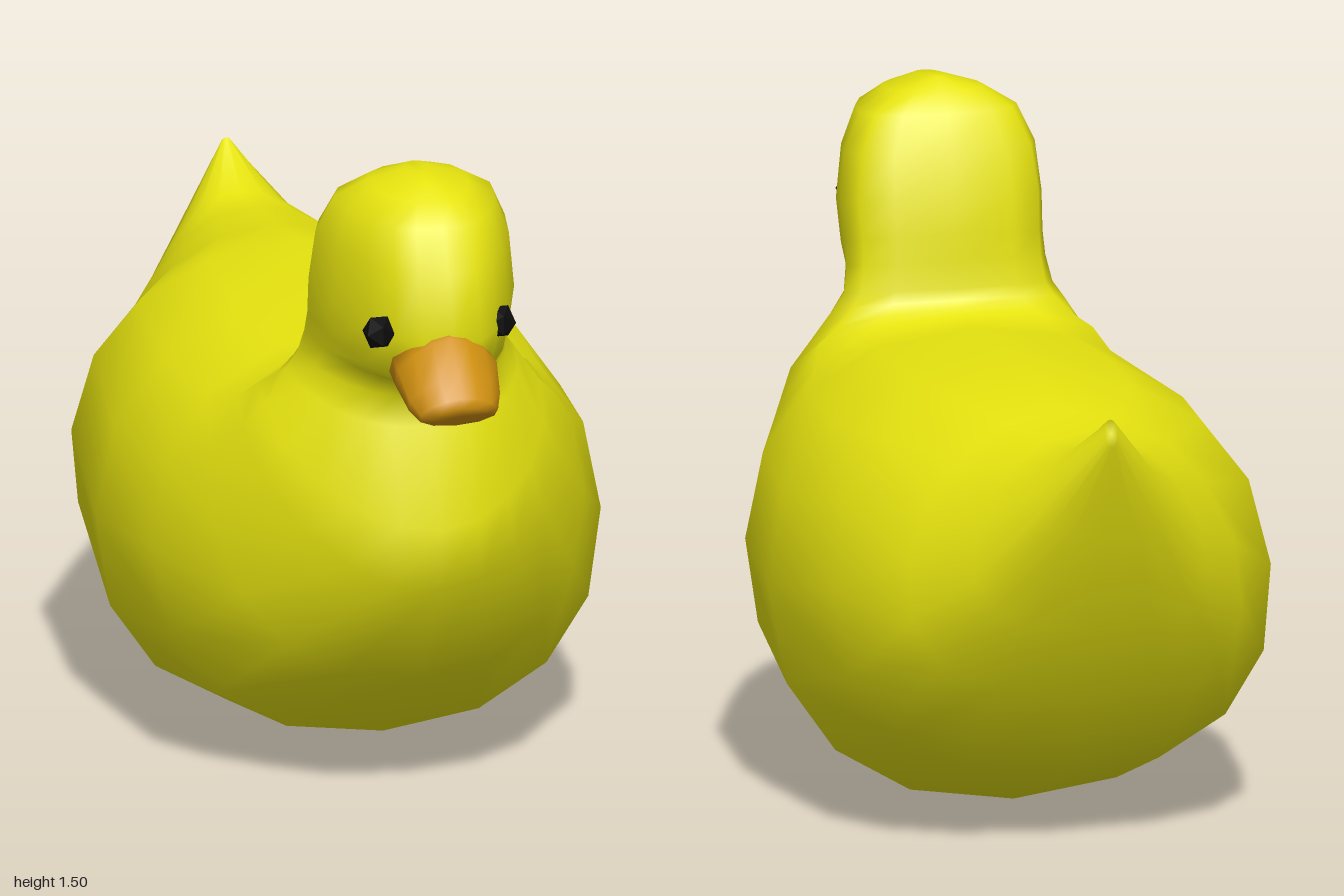
import * as THREE from 'three';

const soften = (v, p) => Math.sign(v) * Math.abs(v) ** p;

// Skin oval rings into one smooth closed surface; power below 1 squares the ovals.
// Ring: [topZ, topY, bottomZ, bottomY, halfWidth, taper, power]
function loft(rings, sides, basePower) {
  const pos = [], index = [], n = rings.length;
  for (const [tz, ty, bz, by, w, taper = 0, power = basePower] of rings) {
    for (let j = 0; j < sides; j++) {
      const a = (j / sides) * Math.PI * 2;
      const c = soften(Math.cos(a), power), s = soften(Math.sin(a), power);
      pos.push(
        w * s * (1 + taper * c),
        (ty + by) / 2 + ((ty - by) / 2) * c,
        (tz + bz) / 2 + ((tz - bz) / 2) * c
      );
    }
  }
  for (let i = 0; i < n - 1; i++) {
    for (let j = 0; j < sides; j++) {
      const k = (j + 1) % sides;
      const a = i * sides + j, b = i * sides + k;
      const d = a + sides, e = b + sides;
      index.push(a, d, b, b, d, e);
    }
  }
  // end caps
  for (const i of [0, n - 1]) {
    const [tz, ty, bz, by] = rings[i], centre = pos.length / 3;
    pos.push(0, (ty + by) / 2, (tz + bz) / 2);
    for (let j = 0; j < sides; j++) {
      const a = i * sides + j, b = i * sides + ((j + 1) % sides);
      if (i === 0) index.push(centre, a, b);
      else index.push(centre, b, a);
    }
  }
  const g = new THREE.BufferGeometry();
  g.setAttribute('position', new THREE.Float32BufferAttribute(pos, 3));
  g.setIndex(index);
  g.computeVertexNormals();
  return g;
}

export function createModel() {
  const group = new THREE.Group();
  const add = (name, geometry, color) => {
    const mesh = new THREE.Mesh(geometry, new THREE.MeshStandardMaterial({ color }));
    mesh.name = name;
    group.add(mesh);
    return mesh;
  };

  // Body, neck and head: rings run from the tail forward, then fan upward
  add('bodyAndHead', loft([
    // tail, broad and flat underneath
    [-0.98, 1.06, -1.0, 1.0, 0.015],
    [-0.86, 0.97, -0.93, 0.78, 0.145, -0.2],
    [-0.74, 0.975, -0.83, 0.54, 0.26, -0.25],
    [-0.57, 0.99, -0.72, 0.375, 0.375, -0.22],
    // body
    [-0.37, 1.02, -0.57, 0.15, 0.505, -0.03],
    [-0.05, 1.015, -0.13, 0.0, 0.555],
    [0.2, 1.005, 0.3, 0.08, 0.52],
    // chest
    [0.27, 1.0, 0.6, 0.3, 0.43, 0.1],
    [0.31, 1.01, 0.76, 0.56, 0.345, 0.32],
    [0.33, 1.02, 0.78, 0.71, 0.3, 0.32],
    // neck and head
    [0.35, 1.035, 0.7, 0.93, 0.25, 0.3, 0.8],
    [0.36, 1.06, 0.69, 1.0, 0.22, 0.33, 0.75],
    [0.365, 1.12, 0.75, 1.05, 0.207, 0.36, 0.75],
    [0.37, 1.18, 0.83, 1.07, 0.207, 0.36, 0.75],
    [0.38, 1.26, 0.885, 1.18, 0.21, 0.36, 0.75],
    [0.41, 1.36, 0.84, 1.33, 0.2, 0.34, 0.75],
    [0.445, 1.44, 0.79, 1.425, 0.17, 0.28, 0.78],
    [0.49, 1.483, 0.73, 1.465, 0.11, 0.2],
    [0.54, 1.505, 0.67, 1.492, 0.03]
  ], 16, 0.88), 0xe6e30f);

  // Bill
  const bill = add('bill', loft([
    [0.84, 1.21, 0.76, 1.06, 0.11, -0.35],
    [0.89, 1.2, 0.83, 1.05, 0.115, -0.35],
    [0.955, 1.13, 0.89, 1.017, 0.105, -0.25],
    [0.99, 1.09, 0.93, 1.008, 0.09, -0.2],
    [1.0, 1.07, 0.96, 1.022, 0.06]
  ], 12, 1), 0xd0900f);
  bill.position.x = -0.01;

  // Eyes
  for (const side of [-1, 1]) {
    const eye = add(side > 0 ? 'leftEye' : 'rightEye', new THREE.IcosahedronGeometry(0.042, 0), 0x0c0c0c);
    eye.position.set(-0.01 + side * 0.14, 1.197, 0.795);
    eye.scale.x = 0.9;
  }
  return group;
}
